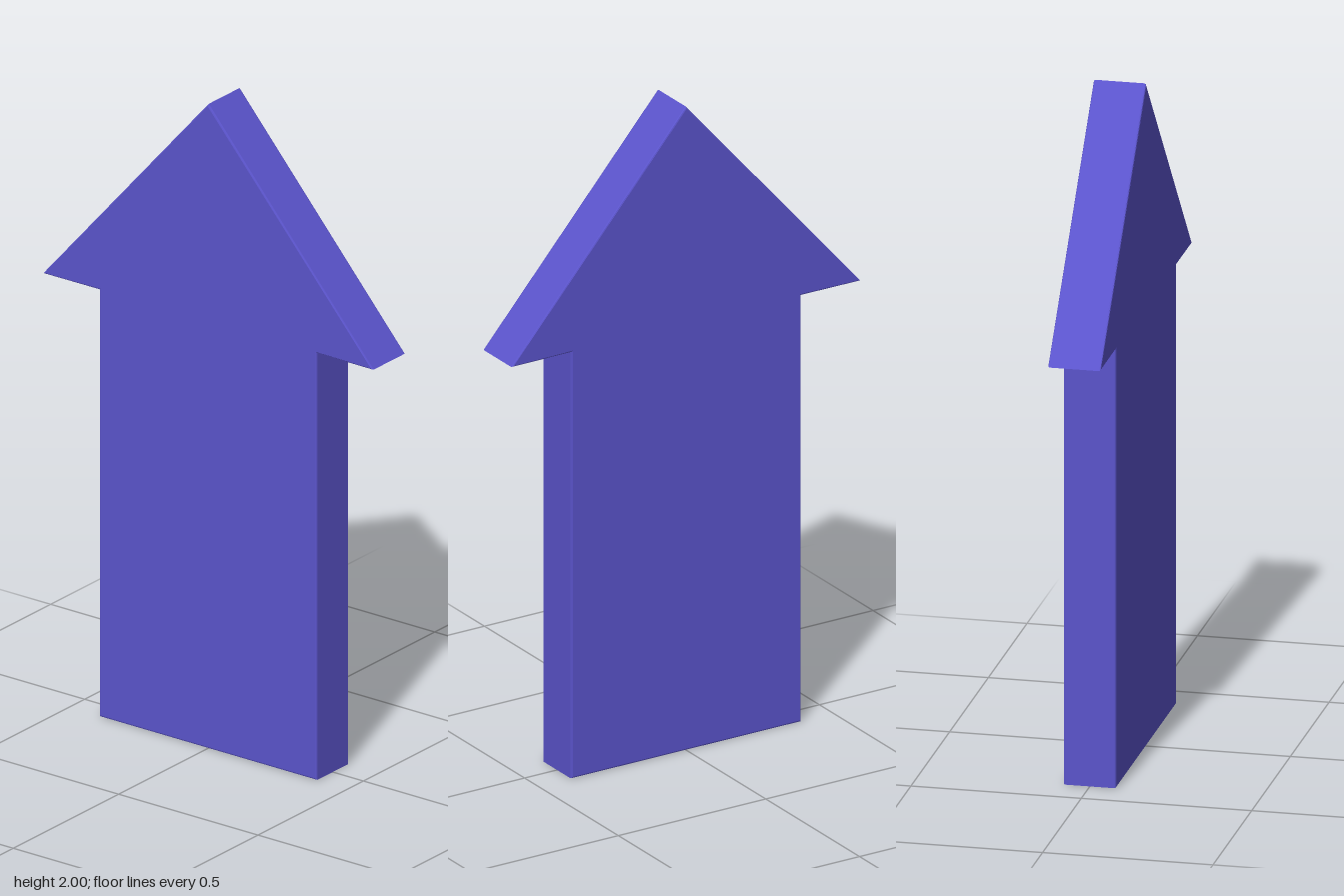
import * as THREE from 'three';

export function createModel() {
  const group = new THREE.Group();
  const material = new THREE.MeshStandardMaterial({ color: 0x5b54cc });

  // Half outline of the arrow, mirrored to close the shape
  const half = [[0.39, 0], [0.39, 1.325], [0.592, 1.325]];
  const mirrored = half.map(([u, y]) => [-u, y]).reverse();
  const outline = [...half, [0, 2], ...mirrored].map(([u, y]) => new THREE.Vector2(u, y));

  // Flat slab with a hairline softened edge, turned to face sideways
  const thickness = 0.154, bevel = 0.005;
  const geometry = new THREE.ExtrudeGeometry(new THREE.Shape(outline), {
    depth: thickness - 2 * bevel,
    bevelEnabled: true,
    bevelThickness: bevel,
    bevelSize: bevel,
    bevelOffset: -bevel,
    bevelSegments: 2,
  });
  geometry.translate(0, 0, -thickness / 2 + bevel);
  geometry.rotateY(Math.PI / 2);

  const arrow = new THREE.Mesh(geometry, material);
  arrow.name = 'arrow';
  group.add(arrow);
  return group;
}
